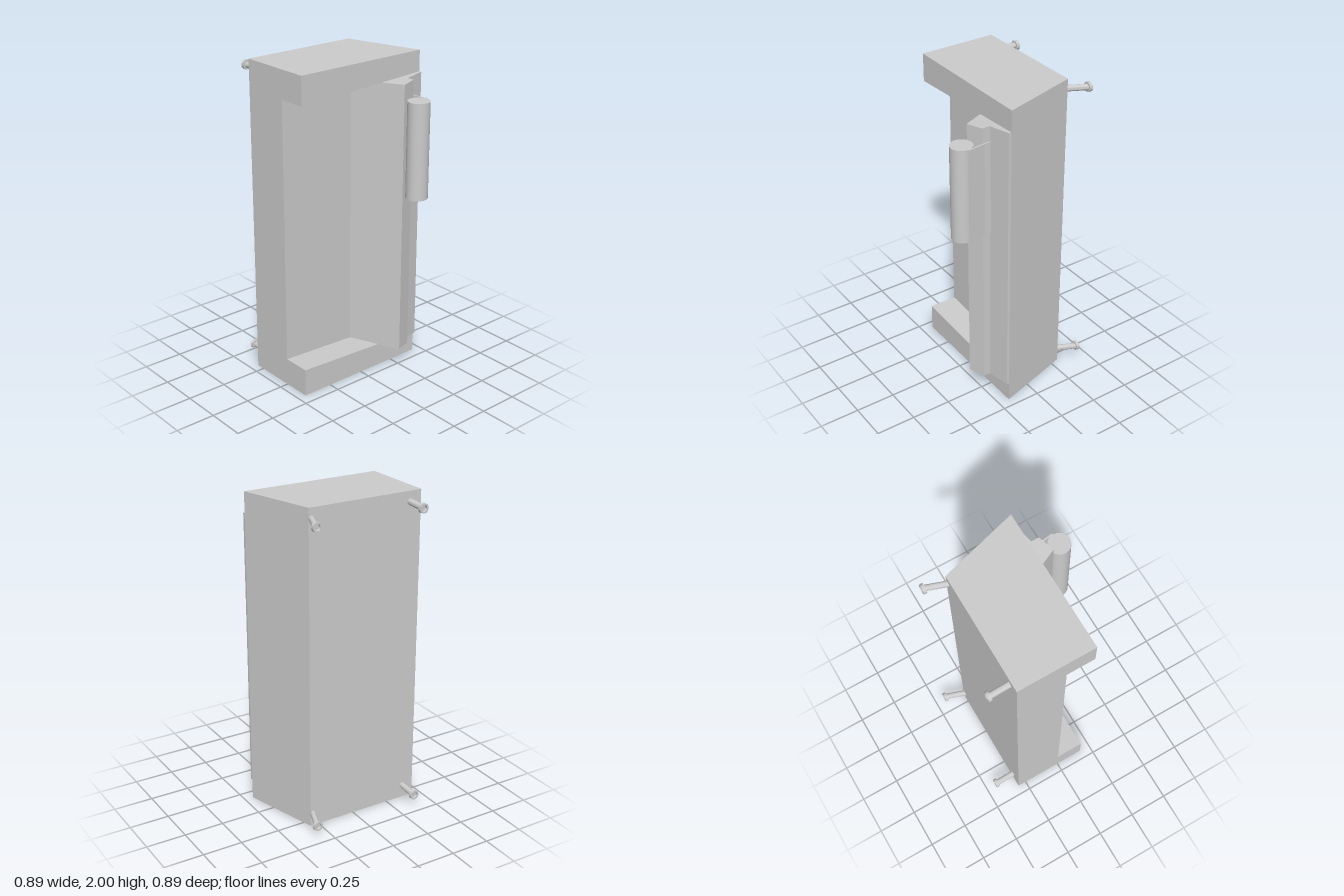
import * as THREE from 'three';
import { toCreasedNormals } from 'three/addons/utils/BufferGeometryUtils.js';

const flat = new THREE.MeshStandardMaterial({ color: 0xcccccc, flatShading: true });
const smooth = new THREE.MeshStandardMaterial({ color: 0xcccccc });

// Upright prism over an [x, z] outline; bottom and top heights may vary with x.
function prism(name, outline, bottom, top) {
  const shape = new THREE.Shape(outline.map(([x, z]) => new THREE.Vector2(x, -z)));
  const geo = new THREE.ExtrudeGeometry(shape, { depth: 1, bevelEnabled: false });
  geo.rotateX(-Math.PI / 2);
  const p = geo.attributes.position;
  for (let i = 0; i < p.count; i++) {
    const x = p.getX(i);
    p.setY(i, p.getY(i) > 0.5 ? top(x) : bottom(x));
  }
  geo.computeVertexNormals();
  const mesh = new THREE.Mesh(geo, flat);
  mesh.name = name;
  return mesh;
}

// Headed bolt pointing backwards, sheared sideways by dx and vertically by dy.
function bolt(name, x, y, dx, dy) {
  const length = 0.118, head = 0.02;
  const profile = [
    [0, 0], [0.019, 0], [0.019, length], [0.03, length], [0.03, length + head],
    [0.019, length + head], [0.017, length + 0.006], [0, length + 0.006],
  ].map(([r, h]) => new THREE.Vector2(r, h));
  const geo = new THREE.LatheGeometry(profile, 20);
  geo.rotateX(-Math.PI / 2);
  const p = geo.attributes.position;
  for (let i = 0; i < p.count; i++) {
    const t = Math.min(1, -p.getZ(i) / length);
    p.setX(i, p.getX(i) + dx * t);
    p.setY(i, p.getY(i) + dy * t);
  }
  const mesh = new THREE.Mesh(toCreasedNormals(geo, 0.6), smooth);
  mesh.position.set(x, y, -0.305);
  mesh.name = name;
  return mesh;
}

export function createModel() {
  const model = new THREE.Group();
  model.name = 'cabinet';

  // Height of the sloping inner edge of the base; the cap mirrors it
  const ledge = (x) => 0.175 - 0.05 * (x + 0.445);
  const underside = (x) => 2 - ledge(x);

  // Base and cap share the slanted footprint
  const footprint = [[-0.445, -0.305], [0.305, -0.305], [0.445, 0.178], [-0.445, 0.178]];
  model.add(prism('base', footprint, () => 0, ledge));
  model.add(prism('cap', footprint, underside, () => 2));

  // Recessed body with the folded ridge on its front
  const body = [
    [-0.445, -0.305], [0.305, -0.305], [0.445, 0.178], [0.445, 0.195],
    [0.308, 0.225], [0.308, 0.273], [0.206, 0.308], [0.062, 0], [-0.445, 0],
  ];
  model.add(prism('body', body, ledge, underside));

  // Handle: thin bent plate carrying a round grip
  const handle = new THREE.Group();
  handle.name = 'handle';
  const low = 1.175, high = 1.77;
  const plate = [
    [0.308, 0.225], [0.316, 0.225], [0.316, 0.265], [0.331, 0.373],
    [0.321, 0.376], [0.308, 0.273],
  ];
  handle.add(prism('handlePlate', plate, () => low, () => high));
  const gripGeo = new THREE.CylinderGeometry(0.067, 0.067, high - low, 40);
  const grip = new THREE.Mesh(gripGeo, smooth);
  grip.position.set(0.255, (low + high) / 2, 0.377);
  grip.name = 'handleGrip';
  handle.add(grip);
  model.add(handle);

  // Four mounting bolts at the back corners
  for (const [label, y] of [['lower', 0.083], ['upper', 1.935]]) {
    model.add(bolt(label + 'StraightBolt', -0.37, y, 0, -0.007));
    model.add(bolt(label + 'SlantedBolt', 0.287, y, 0.044, -0.007));
  }
  return model;
}
